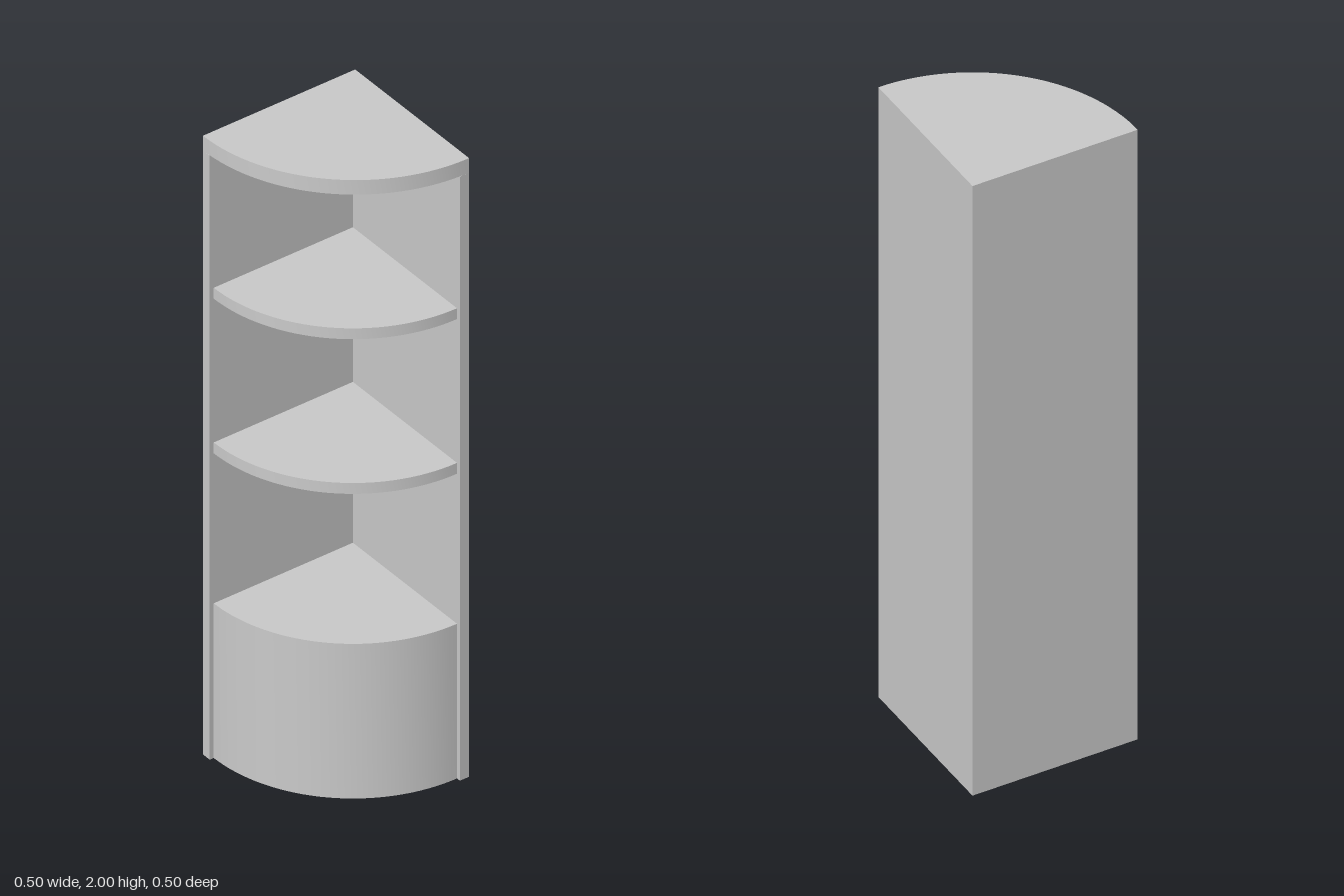
import * as THREE from 'three';
import { toCreasedNormals } from 'three/addons/utils/BufferGeometryUtils.js';

export function createModel() {
  const group = new THREE.Group();
  const material = new THREE.MeshStandardMaterial({ color: 0xcccccc });
  const min = -0.25, inner = -0.22, wall = 0.03, panelTop = 1.953;

  function add(name, geometry, x, y, z) {
    const mesh = new THREE.Mesh(geometry, material);
    mesh.name = name;
    mesh.position.set(x, y, z);
    group.add(mesh);
  }

  // Quarter-round slab with its square corner at (corner, corner)
  function addQuarter(name, corner, radius, bottom, top) {
    const shape = new THREE.Shape();
    shape.moveTo(0, 0);
    shape.lineTo(radius, 0);
    shape.absarc(0, 0, radius, 0, Math.PI / 2, false);
    shape.closePath();
    const geometry = new THREE.ExtrudeGeometry(shape, {
      depth: top - bottom, bevelEnabled: false, curveSegments: 16,
    });
    geometry.rotateX(Math.PI / 2); // lay flat, arc towards +x +z
    add(name, toCreasedNormals(geometry, 0.5), corner, top, corner);
  }

  // Two upright panels meeting in a butt joint at the corner
  add('sidePanel', new THREE.BoxGeometry(wall, panelTop, 0.5), min + wall / 2, panelTop / 2, 0);
  add('backPanel', new THREE.BoxGeometry(0.47, panelTop, wall), 0.015, panelTop / 2, min + wall / 2);

  // Solid base, two shelves and the overhanging top
  addQuarter('base', inner, 0.457, 0, 0.5);
  addQuarter('lowerShelf', inner, 0.457, 0.985, 1.02);
  addQuarter('upperShelf', inner, 0.457, 1.485, 1.52);
  addQuarter('topBoard', min, 0.5, panelTop, 2);

  return group;
}
